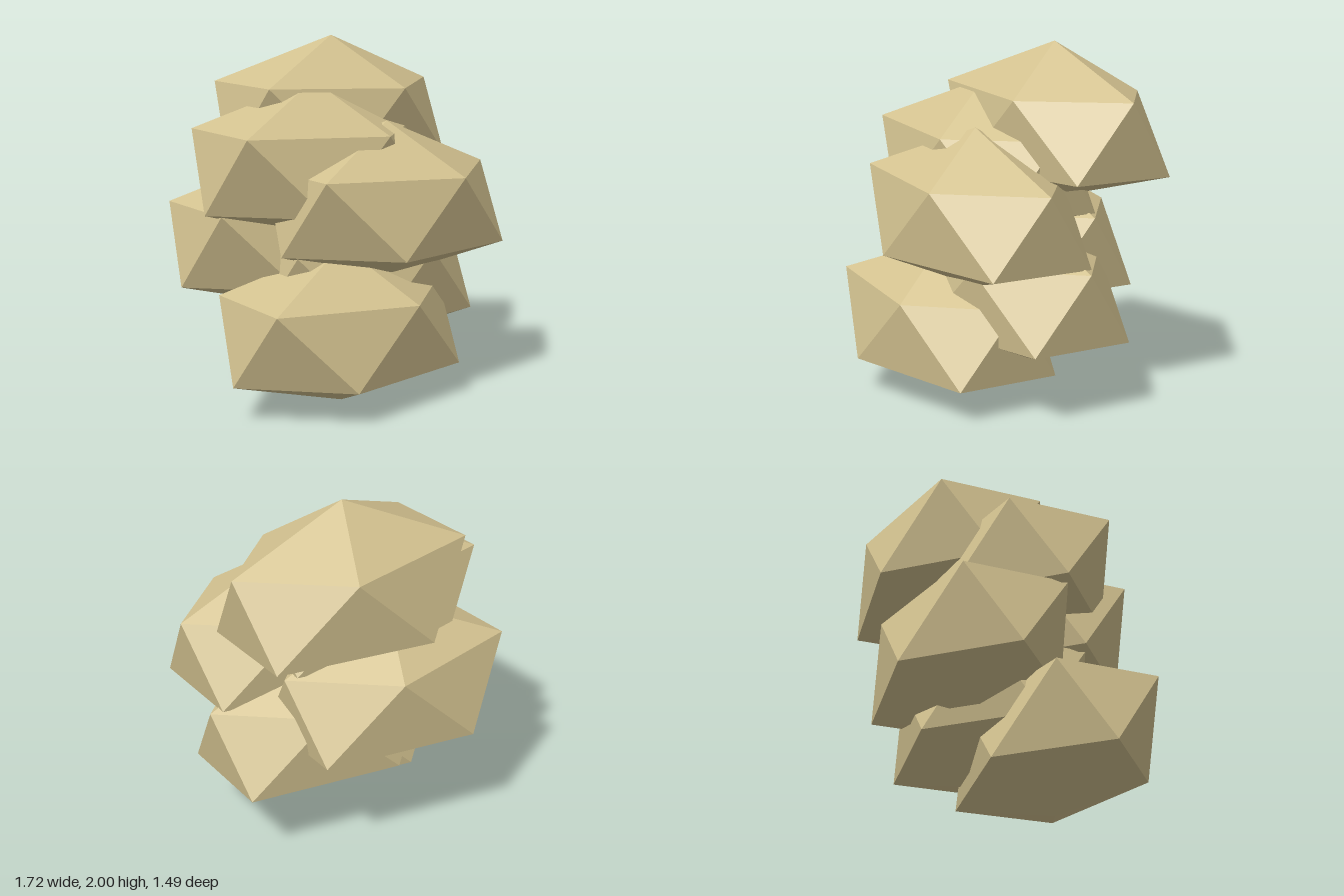
import * as THREE from 'three';

// Stretched, slightly squashed icosahedron; its origin is the top point.
function boulderGeometry() {
  const upper = [[0.695, -0.28, 0], [0.21, -0.287, 0.43], [-0.63, -0.255, 0.305], [-0.61, -0.255, -0.295], [0.21, -0.287, -0.43]];
  const lower = [[0.61, -0.705, 0.3], [-0.22, -0.695, 0.463], [-0.71, -0.69, 0], [-0.24, -0.708, -0.495], [0.64, -0.71, -0.31]];
  const top = [0, 0, 0];
  const bottom = [0, -0.887, 0];
  const positions = [];
  const face = (...corners) => corners.forEach((c) => positions.push(...c));

  for (let i = 0; i < 5; i++) {
    const j = (i + 1) % 5;
    face(top, upper[j], upper[i]);
    face(upper[i], upper[j], lower[i]);
    face(lower[i], upper[j], lower[j]);
    face(bottom, lower[i], lower[j]);
  }
  const geometry = new THREE.BufferGeometry();
  geometry.setAttribute('position', new THREE.Float32BufferAttribute(positions, 3));
  geometry.computeVertexNormals();
  return geometry;
}

export function createModel() {
  const model = new THREE.Group();
  model.name = 'boulderStack';

  const sandstone = new THREE.MeshStandardMaterial({ color: 0xd3c290 });
  sandstone.name = 'sandstone';
  sandstone.flatShading = true;

  // Six equal boulders step down, alternating in x and cycling back to front in z
  const geometry = boulderGeometry();
  for (let i = 0; i < 6; i++) {
    const boulder = new THREE.Mesh(geometry, sandstone);
    boulder.name = `boulder${i + 1}`;
    boulder.position.set(i % 2 ? -0.152 : 0.16, 2 - 0.2225 * i, -0.25 + 0.266 * (i % 3));
    model.add(boulder);
  }
  return model;
}
